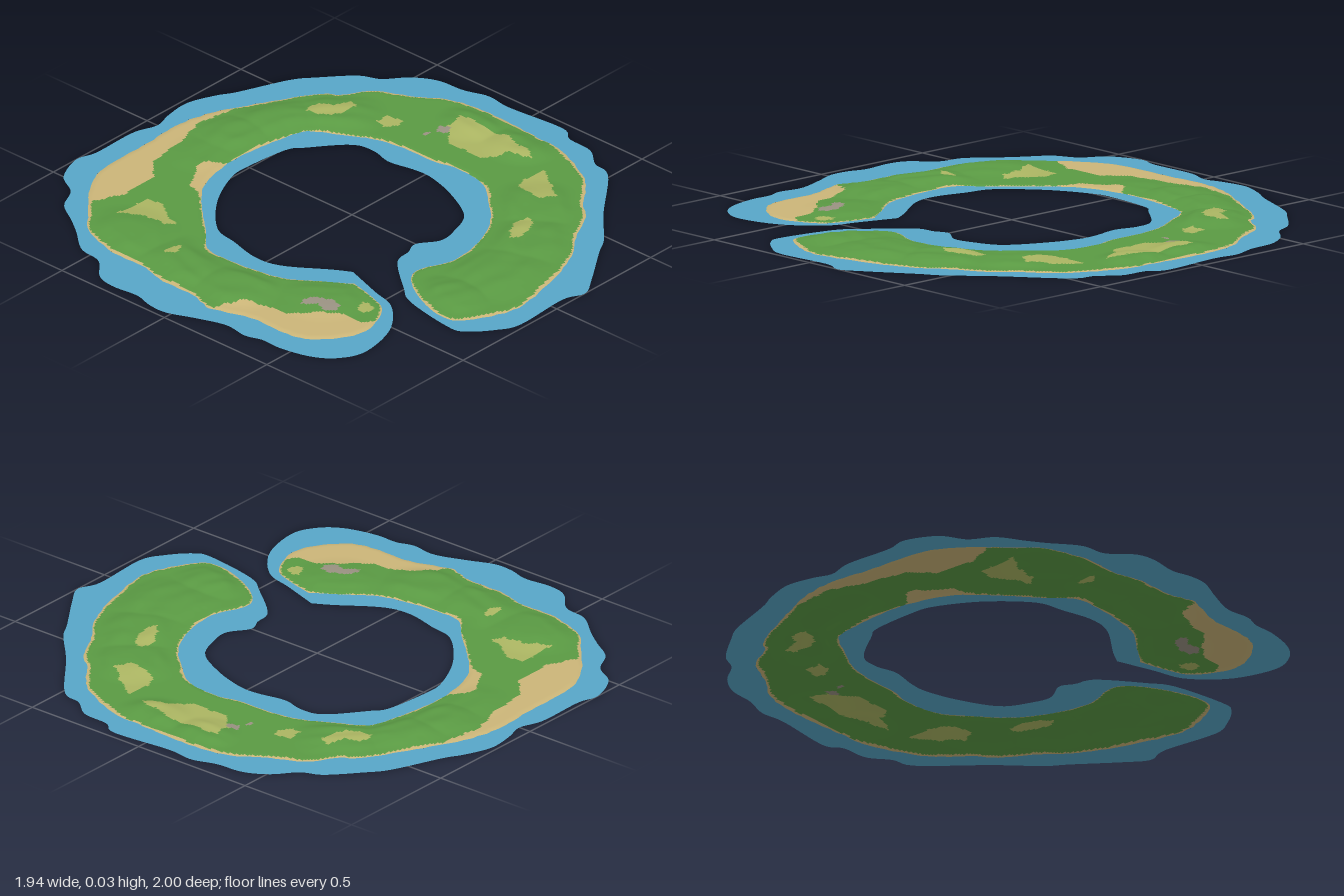
import * as THREE from 'three';

// Shorelines as x, z pairs in hundredths of a unit, clockwise from the west tip
const waterOuter = [-30,28, -35,43, -39,55, -52,66, -69,70, -79,66, -85,58, -88,46, -88,37, -90,30, -89,20, -93,8,
  -97,-2, -97,-10, -95,-18, -96,-29, -94,-37, -86,-45, -84,-55, -76,-65, -71,-72, -65,-81, -56,-86, -50,-95,
  -38,-100, -29,-98, -10,-98, 0,-95, 8,-97, 19,-98, 30,-94, 37,-90, 56,-82, 64,-76, 75,-66, 79,-58, 87,-51,
  92,-42, 93,-31, 96,-21, 95,-10, 97,14, 93,21, 92,32, 86,40, 83,49, 62,66, 48,79, 40,84, 24,95, 15,100,
  6,97, -17,98, -26,94, -34,87, -36,80, -32,58];
const waterInner = [-26,49, -14,35, -6,33, 0,31, 8,36, 16,35, 27,30, 35,16, 39,3, 39,-5, 37,-16, 39,-25, 37,-34,
  24,-45, 18,-49, 0,-51, -10,-50, -26,-42, -40,-29, -43,-18, -46,-5, -44,6, -34,21];
const landOuter = [-36,34, -38,43, -42,53, -50,58, -59,60, -69,56, -77,48, -79,37, -79,24, -84,8, -83,3, -81,-5,
  -81,-18, -78,-31, -78,-45, -73,-61, -63,-71, -50,-82, -38,-88, -23,-89, -12,-89, 3,-90, 16,-88, 28,-83,
  43,-75, 56,-67, 61,-61, 71,-54, 77,-42, 84,-31, 87,-18, 87,-2, 86,11, 85,24, 78,40, 72,48, 61,57, 56,63,
  43,70, 30,79, 14,85, -5,89, -15,88, -29,81, -32,74, -30,64, -24,52, -17,45];
const landInner = [-10,45, 0,49, 16,47, 30,40, 40,30, 48,20, 50,6, 48,-5, 48,-16, 46,-29, 41,-39, 35,-50, 30,-54,
  14,-57, 0,-58, -13,-56, -23,-52, -34,-42, -44,-31, -53,-22, -54,-13, -53,0, -50,13, -42,25];

// Ground patches, same units
const beaches = [
  [-66,-74, -57,-75, -44,-70, -29,-71, -21,-78, 0,-81, 10,-85, 30,-82, 16,-95, -38,-95],
  [-90,6, -79,10, -71,16, -68,32, -60,40, -55,48, -55,56, -46,58, -59,66, -78,58, -90,24],
  [-28,-48, -24,-57, -13,-64, -8,-64, -6,-61, -2,-57, -13,-52]];
const dryPatches = [
  [-57,-62, -42,-62, -41,-55, -45,-50, -48,-42, -52,-45, -52,-53],
  [-68,-30, -60,-30, -61,-27, -66,-27],
  [41,-61, 48,-61, 51,-55, 58,-53, 56,-49, 45,-51],
  [54,-38, 61,-38, 61,-32, 58,-30, 54,-34],
  [61,-9, 69,-16, 77,-17, 77,6, 73,23, 69,13, 61,7],
  [54,31, 61,29, 70,30, 64,39, 57,47, 52,44],
  [23,56, 32,49, 39,49, 38,54, 27,58],
  [-50,48, -44,46, -44,51, -50,52]];
const rockPatches = [
  [-61,30, -56,30, -52,36, -52,42, -56,44, -58,40, -57,36],
  [64,-18, 68,-20, 69,-15, 66,-13],
  [59,-20, 62,-20, 62,-18, 59,-18]];

// Hills: x, z, radius, height
const hills = [[-0.2, 0.66, 0.17, 0.018], [0.05, 0.68, 0.24, 0.018], [0.28, 0.6, 0.22, 0.018], [0.48, 0.45, 0.2, 0.016],
  [0.78, 0.12, 0.16, 0.018], [0.78, -0.12, 0.15, 0.016], [0.48, -0.52, 0.2, 0.018], [0.32, -0.66, 0.2, 0.02],
  [0.14, -0.69, 0.17, 0.018], [-0.04, -0.68, 0.16, 0.007], [-0.66, -0.5, 0.22, 0.016], [-0.68, -0.2, 0.22, 0.017],
  [-0.66, 0.04, 0.2, 0.017], [-0.5, 0.32, 0.2, 0.01]];

const toPoints = (a) => Array.from({ length: a.length / 2 }, (_, i) => new THREE.Vector2(a[2 * i] / 100, a[2 * i + 1] / 100));
const smoothLoop = (a, n) => new THREE.SplineCurve([...toPoints(a), toPoints(a)[0]]).getPoints(n).slice(0, -1);

function inside(poly, x, z) {
  let hit = false;
  for (let i = 0, j = poly.length - 1; i < poly.length; j = i++) {
    const a = poly[i], b = poly[j];
    if ((a.y > z) !== (b.y > z) && x < ((b.x - a.x) * (z - a.y)) / (b.y - a.y) + a.x) hit = !hit;
  }
  return hit;
}

// Closest point on a loop, with its distance
function nearest(poly, x, z) {
  let best = { d: Infinity };
  for (let i = 0, j = poly.length - 1; i < poly.length; j = i++) {
    const a = poly[j], dx = poly[i].x - a.x, dz = poly[i].y - a.y;
    const t = Math.min(1, Math.max(0, ((x - a.x) * dx + (z - a.y) * dz) / (dx * dx + dz * dz || 1)));
    const px = a.x + dx * t, pz = a.y + dz * t, d = Math.hypot(x - px, z - pz);
    if (d < best.d) best = { d, x: px, z: pz };
  }
  return best;
}

const wave = (x, z) => (Math.sin(x * 31 + Math.sin(z * 23) * 1.7) + Math.sin(z * 37 + Math.sin(x * 29) * 1.9)) / 2;

function height(x, z, d) {
  let h = 0;
  for (const [hx, hz, r, top] of hills) {
    h = Math.max(h, top * (1 - THREE.MathUtils.smoothstep(Math.hypot(x - hx, z - hz), r * 0.3, r)));
  }
  const ridge = Math.sin(Math.hypot(x, z) * 62 + wave(x / 3, z / 3) * 2) * 0.09 + wave(x, z) * 0.07;
  return 0.004 * Math.min(1, d / 0.015) + h * (1 + ridge) * THREE.MathUtils.smoothstep(d, 0.005, 0.085);
}

export function createModel() {
  const group = new THREE.Group();
  group.name = 'ringIsland';
  const material = (name, color) => {
    const m = new THREE.MeshStandardMaterial({ color, side: THREE.DoubleSide });
    m.name = name;
    return m;
  };
  const add = (name, geometry, mat) => {
    const mesh = new THREE.Mesh(geometry, mat);
    mesh.name = name;
    group.add(mesh);
  };

  const coast = smoothLoop([...landOuter, ...landInner], 420);
  for (const p of coast) {
    const s = 1 + 0.004 * wave(p.x * 2.5, p.y * 2.5);
    p.multiplyScalar(s);
  }

  // Shallow water: flat sheet with the land cut out
  const flip = (p) => new THREE.Vector2(p.x, -p.y);
  const shape = new THREE.Shape(smoothLoop([...waterOuter, ...waterInner], 420).map(flip));
  shape.holes.push(new THREE.Path(coast.map(flip)));
  add('shallowWater', new THREE.ShapeGeometry(shape).rotateX(-Math.PI / 2), material('water blue', 0x57a6c8));

  // Land: a height grid whose outermost corners are pulled onto the coast
  const step = 0.008, n = 236, at = (i) => (i - n / 2) * step;
  const within = [];
  for (let j = 0; j <= n; j++) for (let i = 0; i <= n; i++) within.push(inside(coast, at(i), at(j)));
  const positions = [], ids = new Map(), depth = [];
  const vertex = (i, j) => {
    const key = j * (n + 1) + i;
    if (!ids.has(key)) {
      const x = at(i), z = at(j), near = nearest(coast, x, z);
      ids.set(key, depth.length);
      if (within[key]) positions.push(x, height(x, z, near.d), z);
      else positions.push(near.x, 0, near.z);
      depth.push(within[key] ? near.d : 0);
    }
    return ids.get(key);
  };

  const [beachPolys, dryPolys, rockPolys] = [beaches, dryPatches, rockPatches].map((list) => list.map(toPoints));
  const ground = (x, z, d) => {
    const px = x + 0.006 * wave(x * 2, z * 2), pz = z + 0.006 * wave(z * 2 + 1, x * 2);
    const on = (polys) => polys.some((p) => inside(p, px, pz));
    const r = Math.hypot(x, z);
    const fringe = (r > 0.68 ? 0.011 : 0.006) + 0.005 * wave(x * 0.6, z * 0.6);
    if (on(beachPolys) || d < fringe) return 'beach';
    if (on(rockPolys)) return 'rock';
    return on(dryPolys) ? 'dryGrass' : 'grass';
  };

  const faces = { grass: [], beach: [], dryGrass: [], rock: [] };
  for (let j = 0; j < n; j++) {
    for (let i = 0; i < n; i++) {
      const k = j * (n + 1) + i;
      if (!(within[k] || within[k + 1] || within[k + n + 1] || within[k + n + 2])) continue;
      const a = vertex(i, j), b = vertex(i + 1, j), c = vertex(i, j + 1), e = vertex(i + 1, j + 1);
      const d = (depth[a] + depth[b] + depth[c] + depth[e]) / 4;
      faces[ground(at(i + 0.5), at(j + 0.5), d)].push(a, c, b, b, c, e);
    }
  }

  // Smooth normals are shared by all ground colours
  const land = new THREE.BufferGeometry();
  land.setAttribute('position', new THREE.Float32BufferAttribute(positions, 3));
  land.setIndex(Object.values(faces).flat());
  land.computeVertexNormals();
  const colors = { grass: 0x5a9a43, beach: 0xcbb578, dryGrass: 0xabb562, rock: 0x9a9282 };
  for (const [name, index] of Object.entries(faces)) {
    const part = new THREE.BufferGeometry();
    part.setAttribute('position', land.getAttribute('position'));
    part.setAttribute('normal', land.getAttribute('normal'));
    part.setIndex(index);
    add(name, part, material(name + ' colour', colors[name]));
  }
  return group;
}
